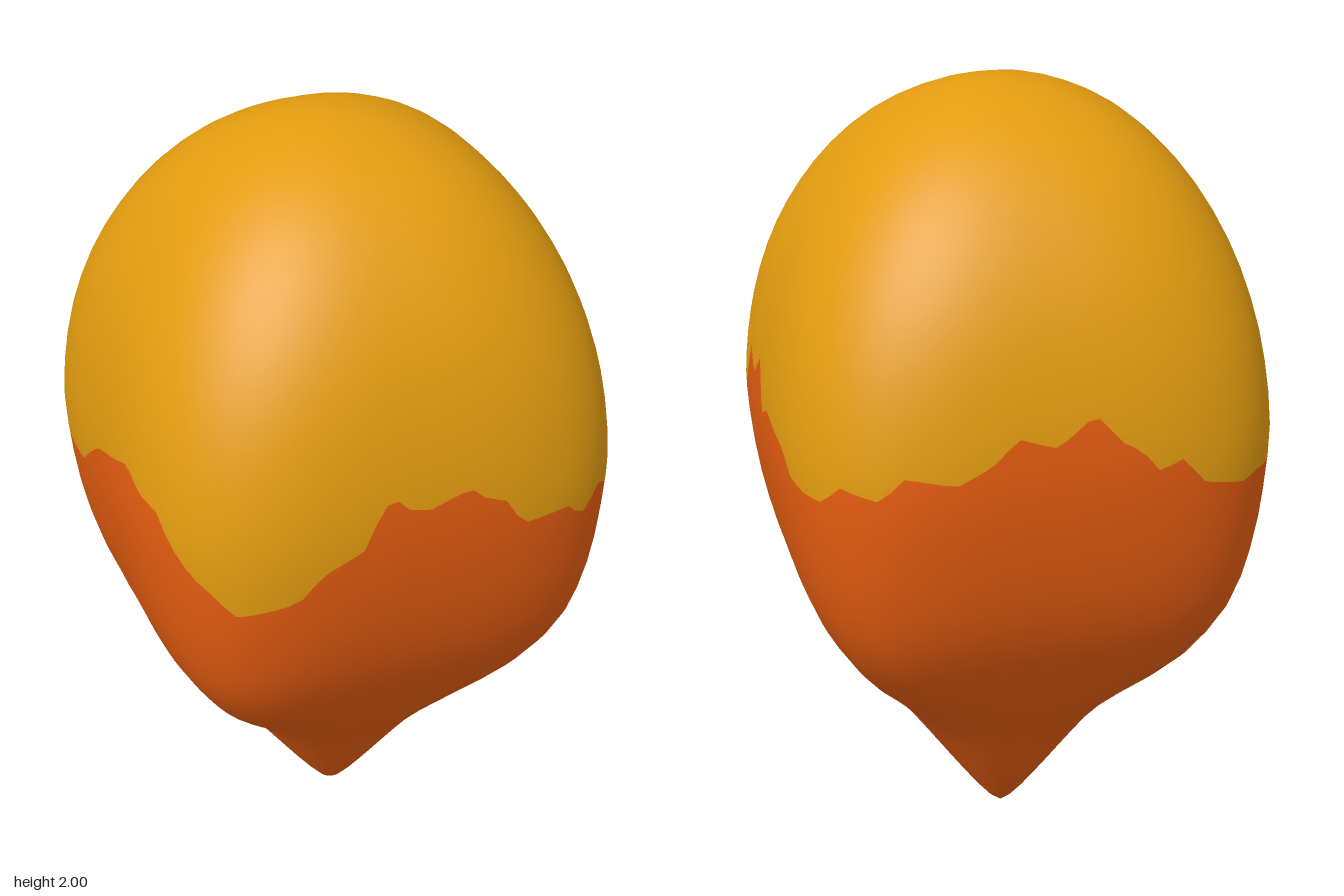
import * as THREE from 'three';

const COLUMNS = 144, ROWS = 18, TOP = 2;

// Side profile from tip to crown: height, half width, corner squareness (superellipse exponent)
const PROFILE = [
  [0, 0, 2], [0.03, 0.035, 2], [0.1, 0.09, 2], [0.33, 0.25, 2.1], [0.42, 0.315, 2.5],
  [0.54, 0.4, 4], [0.63, 0.455, 5], [0.74, 0.52, 4.6], [0.91, 0.575, 4], [1.08, 0.603, 3.6],
  [1.22, 0.612, 3.4], [1.42, 0.587, 3.2], [1.65, 0.51, 2.8], [1.8, 0.41, 2.6],
  [1.91, 0.285, 2.4], [1.98, 0.13, 2.2], [2, 0, 2],
];
const profile = new THREE.CatmullRomCurve3(
  PROFILE.map(([y, r, n]) => new THREE.Vector3(r, y, n)), false, 'centripetal',
).getPoints(400);

// Colour edge on each side: position across the side (-0.6 to 0.6), height.
// Order: front, left, back, right, each read from left to right as seen from outside.
const EDGE = [
  [[-0.6, 1.1], [-0.5, 1.04], [-0.4, 1.06], [-0.32, 1.08], [-0.26, 1.15], [-0.16, 1.2], [-0.12, 1.29],
    [-0.09, 1.32], [-0.05, 1.28], [0, 1.27], [0.1, 1.3], [0.13, 1.27], [0.2, 1.24], [0.23, 1.17],
    [0.38, 1.17], [0.45, 1.12], [0.55, 1.17]],
  [[-0.6, 1.16], [-0.53, 1.13], [-0.43, 1.19], [-0.38, 1.14], [-0.34, 1.16], [-0.28, 1.25], [-0.23, 1.19],
    [-0.17, 1.24], [-0.14, 1.33], [-0.06, 1.28], [0.01, 1.35], [0.05, 1.27], [0.08, 1.23], [0.14, 1.26],
    [0.3, 1.22], [0.34, 1.17], [0.43, 1.15], [0.51, 1.15]],
  [[-0.6, 1.2], [-0.45, 1.18], [-0.38, 1.24], [-0.25, 1.22], [-0.17, 1.26], [-0.11, 1.32], [-0.02, 1.29],
    [0.07, 1.36], [0.13, 1.29], [0.18, 1.26], [0.22, 1.21], [0.28, 1.23], [0.35, 1.16], [0.5, 1.13]],
  [[-0.6, 1.14], [-0.41, 1.13], [-0.25, 1.11], [-0.11, 1.13], [-0.04, 1.19], [0.04, 1.25], [0.14, 1.28],
    [0.23, 1.31], [0.3, 1.27], [0.38, 1.26], [0.45, 1.19], [0.53, 1.13]],
];
// Join the four sides into one loop; the coordinate grows by 1.2 per side
const edgeLoop = EDGE.flatMap((side, i) => side.map(([u, h]) => [u + 0.6 + i * 1.2, h]));
edgeLoop.push([4.8, EDGE[0][0][1]]);

function lookup(points, x, key, out) {
  let i = 1;
  while (i < points.length - 1 && points[i][key] < x) i++;
  const a = points[i - 1], b = points[i];
  const t = THREE.MathUtils.clamp((x - a[key]) / (b[key] - a[key] || 1), 0, 1);
  return a[out] + (b[out] - a[out]) * t;
}

// Rounded-square section point at height y and angle a (0 = front, growing towards +x)
function surfacePoint(y, a) {
  const r = lookup(profile, y, 'y', 'x'), n = lookup(profile, y, 'y', 'z');
  const s = Math.sin(a), c = Math.cos(a);
  const d = r / Math.pow(Math.abs(s) ** n + Math.abs(c) ** n, 1 / n);
  return [d * s, y, d * c];
}

export function createModel() {
  // Rows run from the tip to the colour edge, then from the edge to the crown
  const positions = [], lower = [], upper = [];
  for (let row = 0; row <= 2 * ROWS; row++) {
    for (let col = 0; col < COLUMNS; col++) {
      const a = (col / COLUMNS) * Math.PI * 2 - Math.PI / 4;
      const side = Math.floor((4 * col) / COLUMNS);
      const across = 0.6 * Math.tan(a - side * Math.PI / 2);
      const edge = lookup(edgeLoop, side * 1.2 + 0.6 + across, 0, 1);
      const y = row <= ROWS
        ? edge * Math.pow(row / ROWS, 1.3)
        : edge + (TOP - edge) * Math.sin(((row - ROWS) / ROWS) * Math.PI / 2);
      positions.push(...surfacePoint(y, a));
      if (row === 2 * ROWS) continue;
      const next = (col + 1) % COLUMNS;
      const p = row * COLUMNS + col, q = row * COLUMNS + next;
      const list = row < ROWS ? lower : upper;
      if (row > 0) list.push(p, q, q + COLUMNS);
      if (row < 2 * ROWS - 1) list.push(p, q + COLUMNS, p + COLUMNS);
    }
  }

  // Shared smooth normals across both colours
  const whole = new THREE.BufferGeometry();
  whole.setAttribute('position', new THREE.Float32BufferAttribute(positions, 3));
  whole.setIndex([...lower, ...upper]);
  whole.computeVertexNormals();
  const normal = whole.attributes.normal;
  for (let col = 0; col < COLUMNS; col++) {
    normal.setXYZ(col, 0, -1, 0);
    normal.setXYZ(2 * ROWS * COLUMNS + col, 0, 1, 0);
  }

  const group = new THREE.Group();
  group.name = 'taperedBulb';
  const parts = [['lowerBody', lower, 'orange', 0xe45c10], ['upperCap', upper, 'golden yellow', 0xe39c0f]];
  for (const [name, index, colorName, color] of parts) {
    const geometry = whole.clone().setIndex(index);
    const material = new THREE.MeshStandardMaterial({ color });
    material.name = colorName;
    const mesh = new THREE.Mesh(geometry, material);
    mesh.name = name;
    group.add(mesh);
  }
  return group;
}
